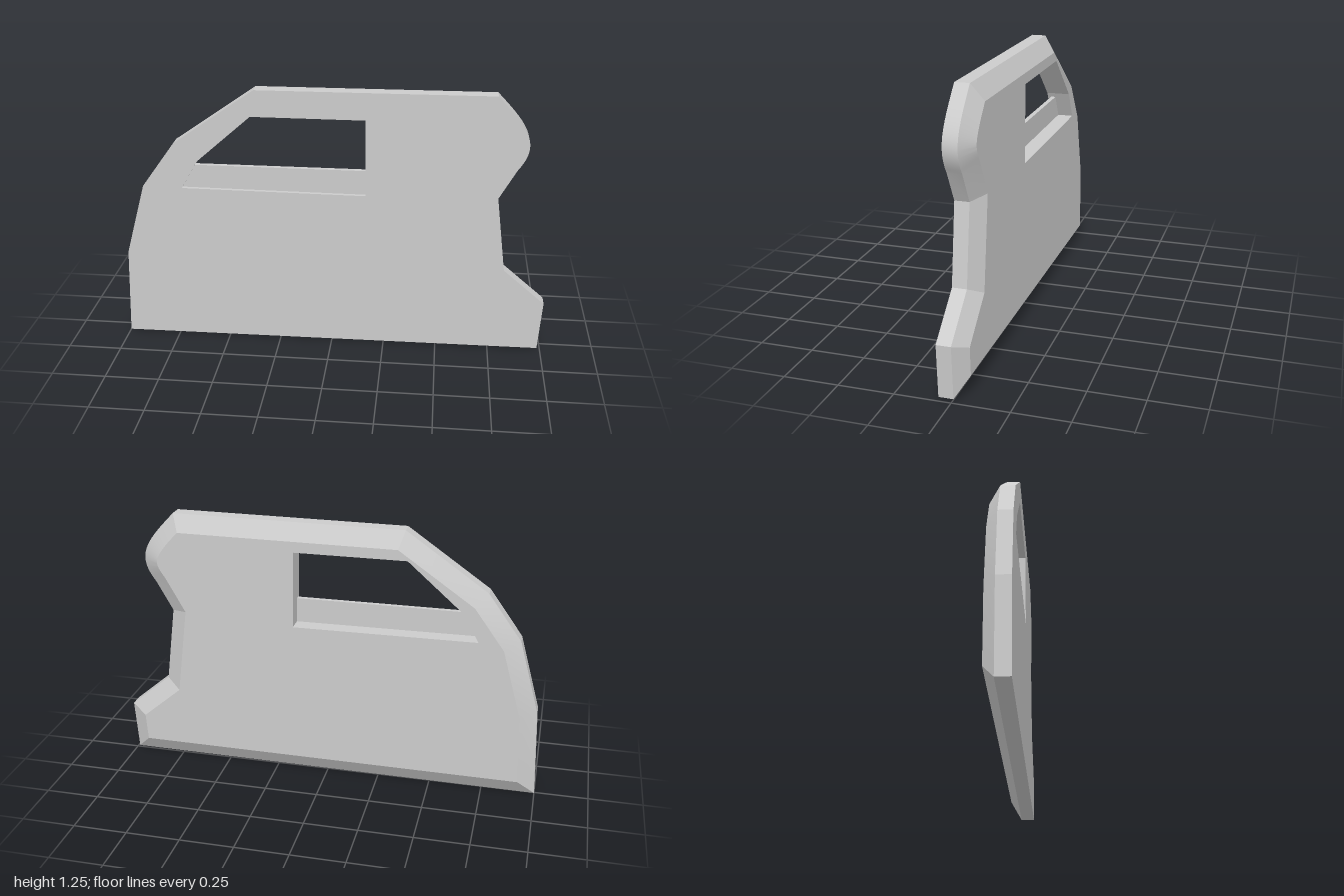
import * as THREE from 'three';
import { toCreasedNormals } from 'three/addons/utils/BufferGeometryUtils.js';

const V = (x, y) => new THREE.Vector2(x, y);
const FRONT = 0.06, EDGE = -0.005, BACK = -0.055, INSET = 0.077;

// Moves every edge of a counter-clockwise outline inward, with mitred corners
function insetOutline(pts, d) {
  const n = pts.length;
  const normal = (a, b) => V(a.y - b.y, b.x - a.x).normalize();
  return pts.map((p, i) => {
    const n1 = normal(pts[(i + n - 1) % n], p);
    const n2 = normal(p, pts[(i + 1) % n]);
    return p.clone().addScaledVector(n1.clone().add(n2), d / (1 + n1.dot(n2)));
  });
}

// Wall between two matching rings, ring a in front of ring b
function wall(out, a, za, b, zb) {
  a.forEach((p, i) => {
    const j = (i + 1) % a.length, q = a[j], r = b[i], s = b[j];
    out.push(r.x, r.y, zb, s.x, s.y, zb, q.x, q.y, za);
    out.push(r.x, r.y, zb, q.x, q.y, za, p.x, p.y, za);
  });
}

// Flat face with optional holes
function cap(out, contour, holes, z, facesBack) {
  const all = contour.concat(...holes);
  for (const t of THREE.ShapeUtils.triangulateShape(contour, holes)) {
    const [a, b, c] = t.map((i) => all[i]);
    const ccw = (b.x - a.x) * (c.y - a.y) - (b.y - a.y) * (c.x - a.x) > 0;
    for (const p of ccw === facesBack ? [a, c, b] : [a, b, c]) out.push(p.x, p.y, z);
  }
}

function toMesh(name, positions, material) {
  const g = new THREE.BufferGeometry();
  g.setAttribute('position', new THREE.Float32BufferAttribute(positions, 3));
  const mesh = new THREE.Mesh(toCreasedNormals(g, 0.2), material);
  mesh.name = name;
  return mesh;
}

export function createModel() {
  const group = new THREE.Group();
  group.name = 'doorPanel';
  const material = new THREE.MeshStandardMaterial({ color: 0xcccccc });

  // Door outline, counter-clockwise, with a rounded bulge on the upper rear edge
  const bulge = new THREE.CubicBezierCurve(
    V(0.834, 0.914), V(0.93, 1.04), V(0.87, 1.11), V(0.73, 1.255)).getPoints(18);
  const outline = [
    V(-1, 0), V(0.985, 0.01), V(1, 0.25), V(0.805, 0.415), V(0.757, 0.775),
    ...bulge,
    V(-0.35, 1.25), V(-0.73, 0.985), V(-0.885, 0.77), V(-0.982, 0.425),
  ];
  const backOutline = insetOutline(outline, INSET);

  // Window opening, clockwise so its walls face inward
  const opening = [
    V(-0.7, 0.767), V(-0.625, 0.9), V(-0.37, 1.125), V(0.15, 1.125), V(0.155, 0.762),
  ];

  // Door body: front, straight edge, bevelled edge, back and window walls
  const body = [];
  cap(body, outline, [opening], FRONT, false);
  wall(body, outline, FRONT, outline, EDGE);
  wall(body, outline, EDGE, backOutline, BACK);
  cap(body, backOutline, [opening], BACK, true);
  wall(body, opening, FRONT, opening, BACK);
  group.add(toMesh('doorBody', body, material));

  // Thin strip standing across the bottom of the window opening
  const strip = [V(-0.7, 0.767), V(0.155, 0.762), V(0.153, 0.878), V(-0.638, 0.878)];
  const sill = [];
  cap(sill, strip, [], 0.042, false);
  wall(sill, strip, 0.042, strip, 0.02);
  cap(sill, strip, [], 0.02, true);
  group.add(toMesh('windowSillStrip', sill, material));

  return group;
}
